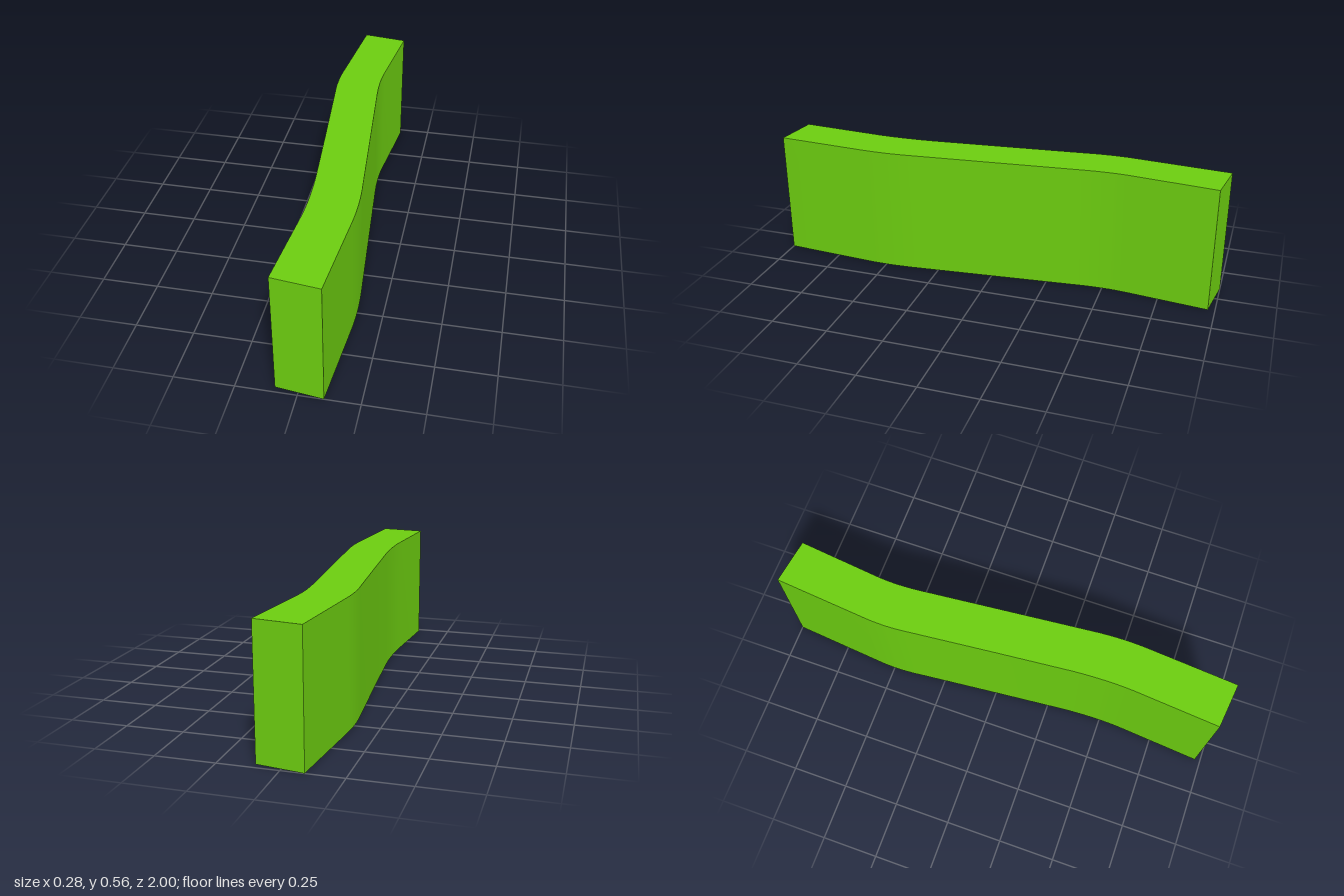
import * as THREE from 'three';
import { toCreasedNormals } from 'three/addons/utils/BufferGeometryUtils.js';

const HEIGHT = 0.555;

// Each side in plan [x, z], back to front: straight runs joined by two soft bends.
// Order: end, bend start, bend control, bend end, middle, bend start, control, bend end, end.
const LEFT = [[0.105, -0.97], [0.063, -0.6], [0.052, -0.5], [0.067, -0.36], [0.1, 0],
  [0.132, 0.35], [0.145, 0.48], [0.136, 0.6], [0.105, 1]];
const RIGHT = [[-0.095, -1], [-0.135, -0.58], [-0.145, -0.48], [-0.132, -0.37], [-0.097, 0],
  [-0.067, 0.33], [-0.056, 0.48], [-0.064, 0.6], [-0.095, 0.975]];

// Traces one side of the plan; plan z becomes -y in the shape
function traceSide(shape, points) {
  const p = points.map(([x, z]) => [x, -z]);
  shape.lineTo(...p[1]);
  shape.quadraticCurveTo(...p[2], ...p[3]);
  shape.lineTo(...p[4]);
  shape.lineTo(...p[5]);
  shape.quadraticCurveTo(...p[6], ...p[7]);
  shape.lineTo(...p[8]);
}

export function createModel() {
  const group = new THREE.Group();
  group.name = 'curvedWall';

  // Wavy plan: down one side, across the end, back up the other
  const plan = new THREE.Shape();
  plan.moveTo(LEFT[0][0], -LEFT[0][1]);
  traceSide(plan, LEFT);
  const back = [...RIGHT].reverse();
  plan.lineTo(back[0][0], -back[0][1]);
  traceSide(plan, back);
  plan.closePath();

  // Raised to full height, smooth along the sides and sharp at the corners
  const geometry = new THREE.ExtrudeGeometry(plan, { depth: HEIGHT, bevelEnabled: false, curveSegments: 10 });
  geometry.rotateX(-Math.PI / 2);
  const wall = new THREE.Mesh(
    toCreasedNormals(geometry, Math.PI / 6),
    new THREE.MeshStandardMaterial({ color: 0x6ccc10 })
  );
  wall.name = 'wall';
  group.add(wall);
  return group;
}
